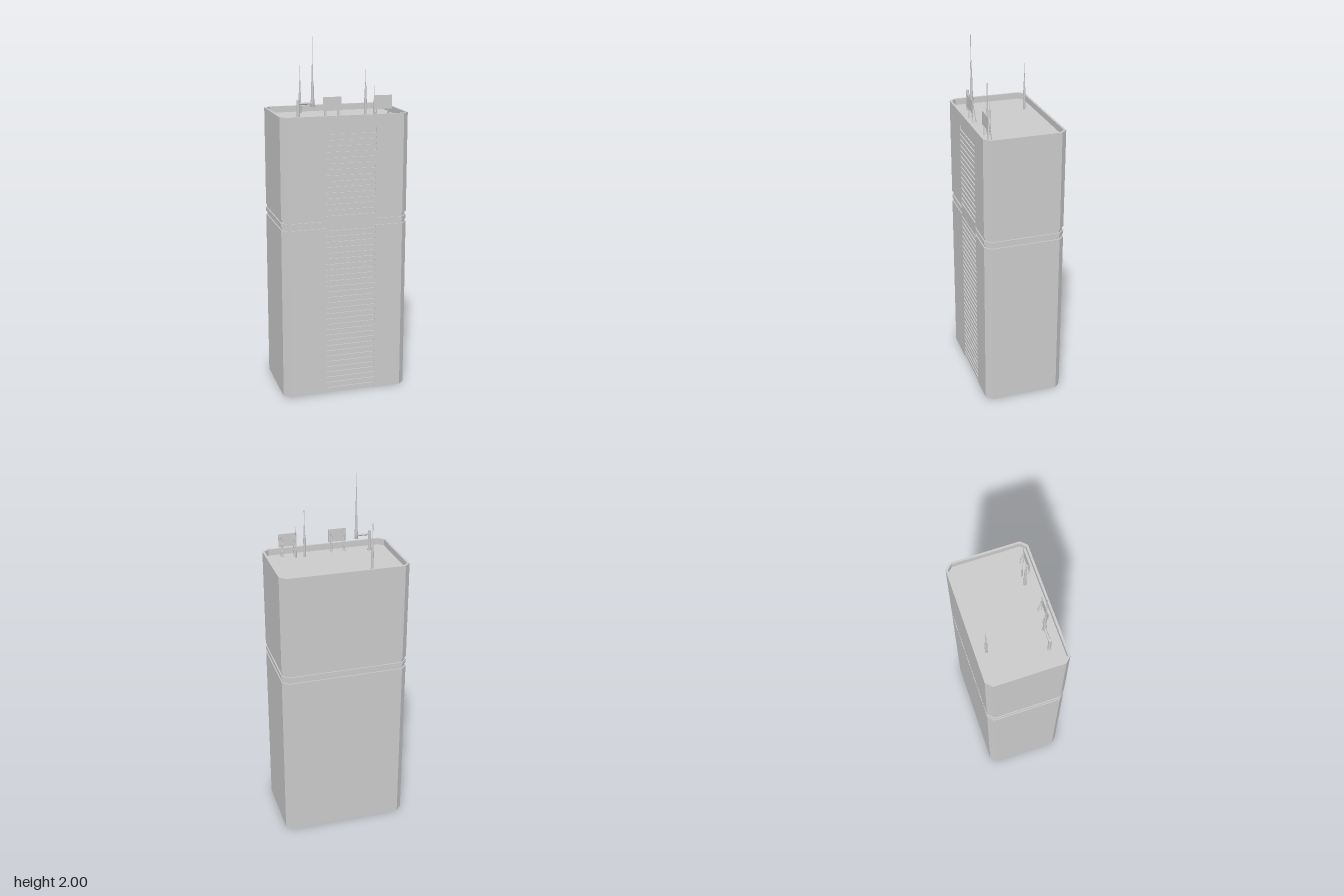
import * as THREE from 'three';

const W = 0.358, D = 0.226, CUT = 0.033, H = 1.59, ROOF = 1.555, INSET = 0.006;
const STRIP = { x0: -0.115, x1: 0.168, top: 1.52 };
const mat = new THREE.MeshStandardMaterial({ color: 0xcccccc });
const thinMat = new THREE.MeshStandardMaterial({ color: 0xcccccc, side: THREE.DoubleSide });

function add(parent, name, geometry, x = 0, y = 0, z = 0, material = mat) {
  const mesh = new THREE.Mesh(geometry, material);
  mesh.name = name;
  mesh.position.set(x, y, z);
  parent.add(mesh);
  return mesh;
}

// Chamfered rectangle; a notch leaves a shallow recess in the front edge
function outline(inset, notch = false) {
  const w = W - inset, d = D - inset, c = CUT - inset * 0.586;
  const p = [[-w + c, -d]];
  if (notch) {
    const { x0, x1 } = STRIP;
    p.push([x0, -d], [x0, -d + INSET], [x1, -d + INSET], [x1, -d]);
  }
  p.push([w - c, -d], [w, -d + c], [w, d - c], [w - c, d], [-w + c, d], [-w, d - c], [-w, -d + c]);
  return p.map(([x, y]) => new THREE.Vector2(x, y));
}

function slab(parent, name, points, y0, y1, hole) {
  const shape = new THREE.Shape(points);
  if (hole) shape.holes.push(new THREE.Path(hole));
  const geo = new THREE.ExtrudeGeometry(shape, { depth: y1 - y0, bevelEnabled: false });
  geo.rotateX(-Math.PI / 2);
  return add(parent, name, geo, 0, y0, 0);
}

// Cylinder between two points
function rod(parent, name, a, b, r, sides = 6) {
  const va = new THREE.Vector3(...a), vb = new THREE.Vector3(...b);
  const dir = vb.clone().sub(va);
  const mesh = add(parent, name, new THREE.CylinderGeometry(r, r, dir.length(), sides));
  mesh.position.copy(va).add(vb).multiplyScalar(0.5);
  mesh.quaternion.setFromUnitVectors(new THREE.Vector3(0, 1, 0), dir.normalize());
  return mesh;
}

// Stepped whip antenna turned from a [radius, height] profile
function antenna(parent, name, x, z, profile) {
  const pts = profile.map(([r, y]) => new THREE.Vector2(r, y));
  add(parent, name, new THREE.LatheGeometry(pts, 12), x, 0, z, thinMat);
}

function buildTower() {
  const tower = new THREE.Group();
  tower.name = 'tower';
  slab(tower, 'lowerBody', outline(0, true), 0, 0.974);
  slab(tower, 'grooveCore', outline(INSET), 0.97, 1.038);
  slab(tower, 'beltCourse', outline(0), 0.992, 1.013);
  slab(tower, 'upperBody', outline(0, true), 1.034, STRIP.top);
  slab(tower, 'topBody', outline(0), STRIP.top, ROOF);
  slab(tower, 'parapet', outline(0), ROOF, H, outline(0.012));
  return tower;
}

// Horizontal louvre slats filling the front recess, with a plain panel at the belt
function buildLouvres() {
  const louvres = new THREE.Group();
  louvres.name = 'frontLouvres';
  const w = STRIP.x1 - STRIP.x0, cx = (STRIP.x0 + STRIP.x1) / 2, z = D - INSET / 2;
  const bar = (name, y0, y1) =>
    add(louvres, name, new THREE.BoxGeometry(w, y1 - y0, INSET), cx, (y0 + y1) / 2, z);
  const pitch = 0.032, slat = 0.02;
  for (let y = 0.012; y + slat < 0.965; y += pitch) bar('slat', y, y + slat);
  for (let y = 1.056; y + slat < STRIP.top; y += pitch) bar('slat', y, y + slat);
  bar('beltPanel', 0.968, 1.044);
  return louvres;
}

// Flat dish panel on two small lattice stands
function buildPanel(x) {
  const g = new THREE.Group();
  g.name = 'panelAntenna';
  add(g, 'panel', new THREE.BoxGeometry(0.103, 0.074, 0.003), x, 1.648, 0.18);
  for (const dx of [-0.036, 0.036]) {
    for (const s of [-0.004, 0.004]) {
      const sx = x + dx + s;
      rod(g, 'frontLeg', [sx, ROOF, 0.176], [sx, 1.68, 0.176], 0.0013);
      rod(g, 'backLeg', [sx, ROOF, 0.157], [sx, 1.675, 0.176], 0.0013);
    }
    for (let i = 0; i < 5; i++) {
      const y = ROOF + 0.012 + i * 0.022;
      const zBack = 0.157 + 0.019 * (y - ROOF) / 0.12;
      add(g, 'rung', new THREE.BoxGeometry(0.009, 0.002, 0.178 - zBack), x + dx, y, (0.178 + zBack) / 2);
    }
  }
  return g;
}

function buildRoofGear() {
  const gear = new THREE.Group();
  gear.name = 'roofEquipment';
  // Side-mounted tall mast on a short post
  rod(gear, 'mastPost', [-0.244, ROOF, 0.143], [-0.244, 1.67, 0.143], 0.009, 12);
  rod(gear, 'postFoot', [-0.244, ROOF, 0.143], [-0.244, 1.563, 0.143], 0.012, 12);
  rod(gear, 'mastArm', [-0.244, 1.65, 0.143], [-0.165, 1.65, 0.143], 0.007, 10);
  antenna(gear, 'tallMast', -0.165, 0.143, [
    [0, 1.63], [0.01, 1.63], [0.01, 1.67], [0.008, 1.675], [0.007, 1.76],
    [0.0045, 1.765], [0.004, 1.85], [0.0022, 1.855], [0.002, 2], [0, 2]]);
  // Two matching whip antennas
  for (const [x, z] of [[-0.158, -0.163], [0.131, 0.143]]) {
    antenna(gear, 'whipAntenna', x, z, [
      [0, ROOF], [0.0075, ROOF], [0.0075, 1.66], [0.0045, 1.68], [0.004, 1.735],
      [0.0018, 1.74], [0.0018, 1.82], [0, 1.82]]);
  }
  antenna(gear, 'smallAntenna', 0.181, 0.143, [
    [0, ROOF], [0.005, ROOF], [0.005, 1.61], [0.0015, 1.615], [0.0015, 1.73], [0, 1.73]]);
  for (const x of [-0.066, 0.218]) gear.add(buildPanel(x));
  return gear;
}

export function createModel() {
  const model = new THREE.Group();
  model.name = 'officeTower';
  model.add(buildTower(), buildLouvres(), buildRoofGear());
  return model;
}
